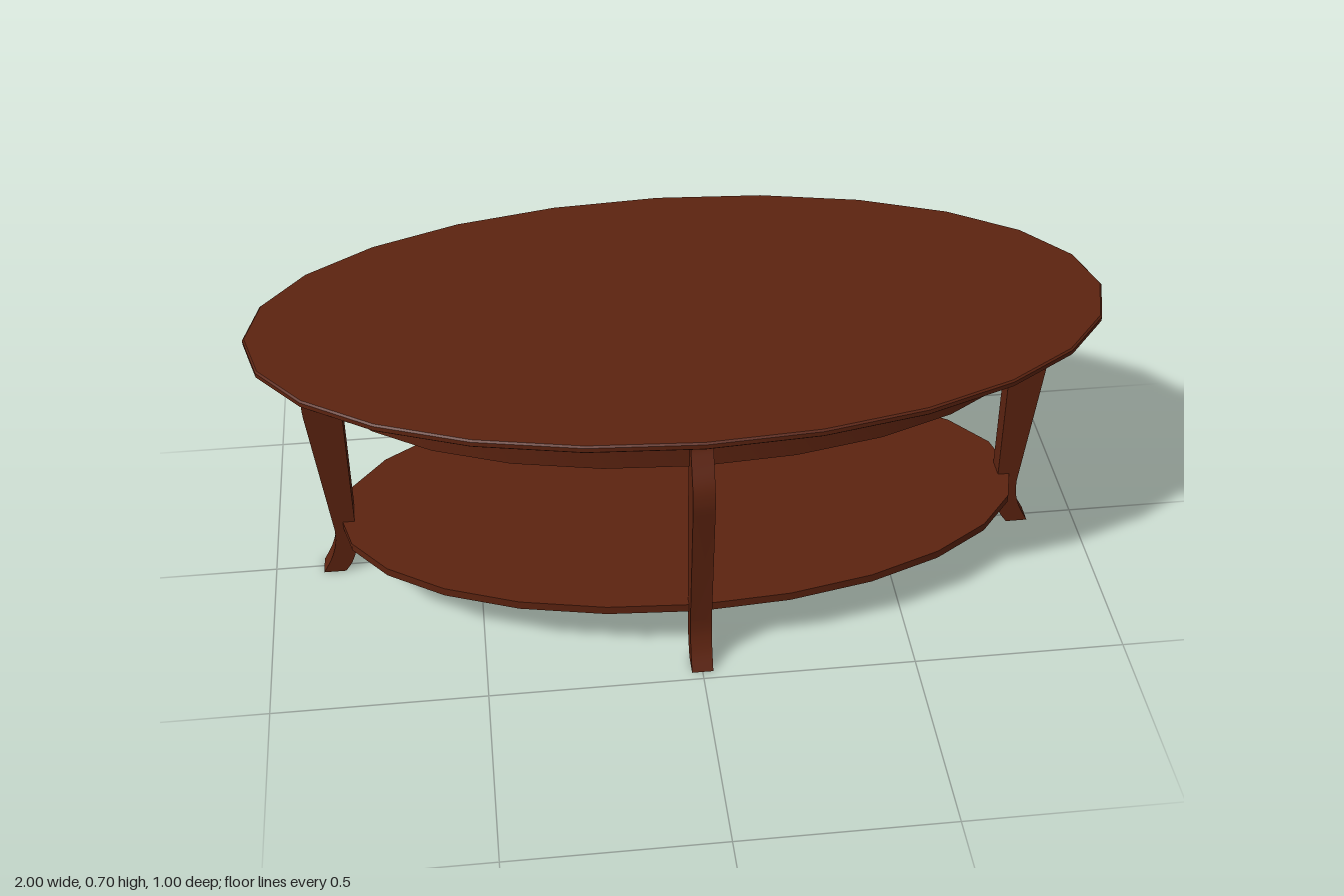
import * as THREE from 'three';
import { toCreasedNormals } from 'three/addons/utils/BufferGeometryUtils.js';

const SIDES = 24;

// Points of a 24-sided oval, with corners on both axes
function ovalPoints(rx, rz) {
  return Array.from({ length: SIDES }, (_, i) => {
    const a = (i / SIDES) * Math.PI * 2;
    return new THREE.Vector2(Math.cos(a) * rx, Math.sin(a) * rz);
  });
}

// Horizontal oval slab from y0 to y1, optionally hollow and with a softened rim
function ovalSlab(rx, rz, y0, y1, { wall = 0, bevel = 0 } = {}) {
  const shape = new THREE.Shape(ovalPoints(rx - bevel, rz - bevel));
  if (wall) shape.holes.push(new THREE.Path(ovalPoints(rx - wall, rz - wall)));
  const geo = new THREE.ExtrudeGeometry(shape, {
    depth: y1 - y0 - 2 * bevel,
    bevelEnabled: bevel > 0,
    bevelThickness: bevel,
    bevelSize: bevel,
    bevelSegments: 1,
  });
  geo.rotateX(-Math.PI / 2).translate(0, y0 + bevel, 0);
  return toCreasedNormals(geo, 0.7);
}

// Cabriole leg: side profile (outward, up) extruded to the leg's width
function legGeometry(width) {
  const s = new THREE.Shape();
  s.moveTo(0.025, 0);
  s.lineTo(0.078, 0);
  s.splineThru([[0.055, 0.045], [0.042, 0.09], [0.04, 0.13]].map((p) => new THREE.Vector2(...p)));
  s.lineTo(0.08, 0.48);
  s.splineThru([[0.081, 0.51], [0.074, 0.55], [0.05, 0.6], [0.035, 0.632], [0.031, 0.655], [0.032, 0.678]]
    .map((p) => new THREE.Vector2(...p)));
  s.lineTo(-0.01, 0.678);
  s.lineTo(-0.01, 0.13);
  s.splineThru([[-0.012, 0.1], [-0.008, 0.07], [0.007, 0.027], [0.025, 0]].map((p) => new THREE.Vector2(...p)));
  const geo = new THREE.ExtrudeGeometry(s, { depth: width, bevelEnabled: false, curveSegments: 3 });
  geo.translate(0, 0, -width / 2);
  return toCreasedNormals(geo, 0.6);
}

export function createModel() {
  const model = new THREE.Group();
  model.name = 'ovalTable';
  const wood = new THREE.MeshStandardMaterial({ color: 0x5c2310 });
  wood.name = 'reddish brown wood';

  const add = (name, geometry) => {
    const mesh = new THREE.Mesh(geometry, wood);
    mesh.name = name;
    model.add(mesh);
    return mesh;
  };

  add('tableTop', ovalSlab(1, 0.5, 0.677, 0.696, { bevel: 0.004 }));
  add('apron', ovalSlab(0.83, 0.415, 0.567, 0.678, { wall: 0.03 }));
  add('shelf', ovalSlab(0.83, 0.415, 0.135, 0.156));

  // One leg at each end of both axes
  const leg = legGeometry(0.05);
  ['leftLeg', 'backLeg', 'rightLeg', 'frontLeg'].forEach((name, i) => {
    const angle = (i * Math.PI) / 2;
    const reach = i % 2 ? 0.4 : 0.805;
    const mesh = add(name, leg);
    mesh.rotation.y = angle;
    mesh.position.set(Math.cos(angle) * reach, 0, -Math.sin(angle) * reach);
  });

  return model;
}
